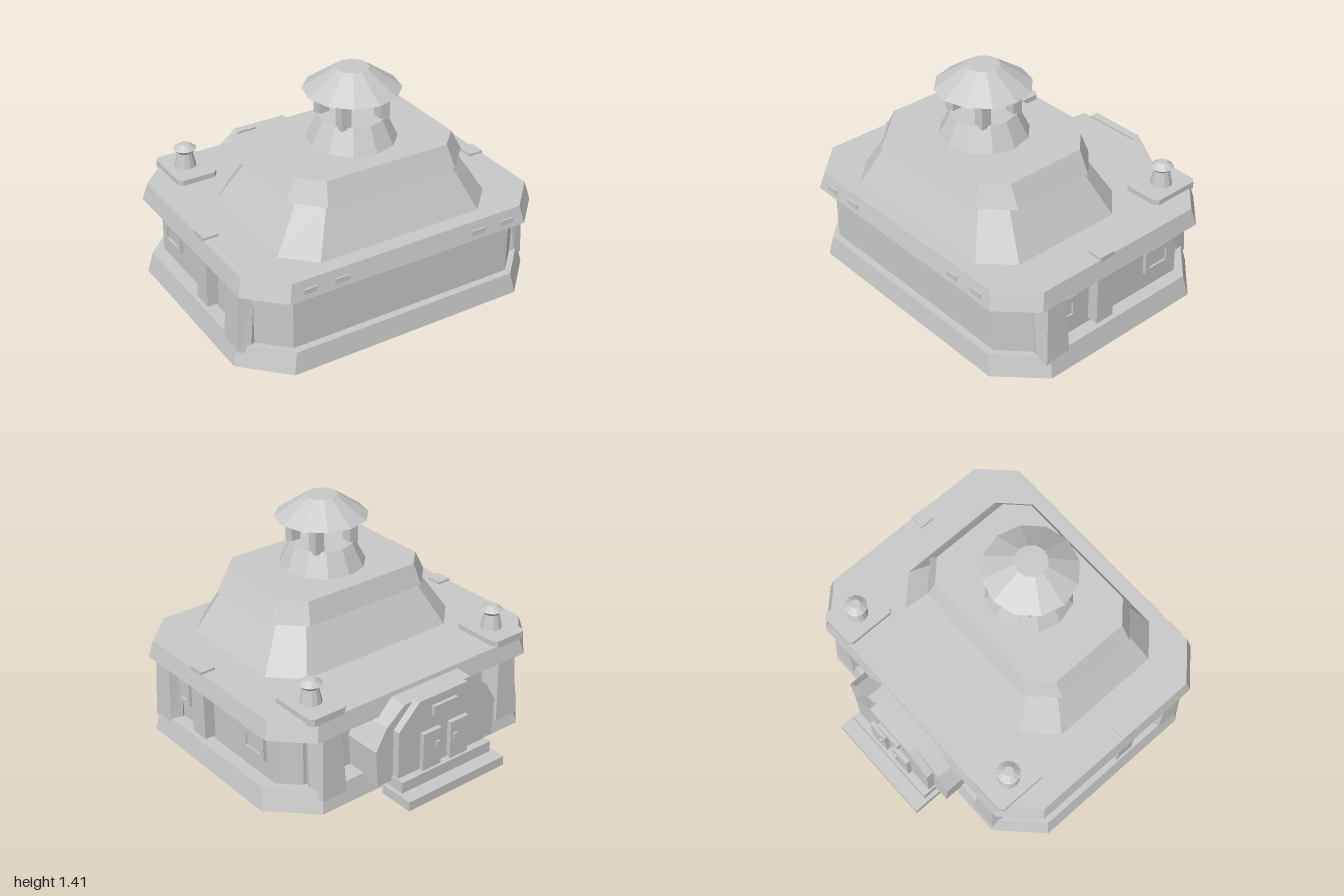
import * as THREE from 'three';

const stone = new THREE.MeshStandardMaterial({ color: 0xc9c9c9 });
stone.name = 'pale grey';

// Faceted normals for every part
function flat(g) {
  const f = g.index ? g.toNonIndexed() : g;
  f.computeVertexNormals();
  return f;
}

// Closed solid through rings of [x, z] corners at given heights
function loft(levels, mirror = false) {
  const rings = levels.map(({ y, pts }) => {
    const r = pts.map(([x, z]) => [mirror ? -x : x, y, z]);
    return mirror ? r.reverse() : r;
  });
  const pos = [];
  const tri = (a, b, c) => pos.push(...a, ...b, ...c);
  const n = rings[0].length;
  for (let k = 0; k < rings.length - 1; k++) {
    for (let i = 0; i < n; i++) {
      const j = (i + 1) % n, a = rings[k], b = rings[k + 1];
      tri(a[i], a[j], b[j]);
      tri(a[i], b[j], b[i]);
    }
  }
  const lo = rings[0], hi = rings[rings.length - 1];
  for (let i = 1; i < n - 1; i++) {
    tri(hi[0], hi[i], hi[i + 1]);
    tri(lo[0], lo[i + 1], lo[i]);
  }
  const g = new THREE.BufferGeometry();
  g.setAttribute('position', new THREE.Float32BufferAttribute(pos, 3));
  return flat(g);
}

// Rectangle with cut corners: front cut c, back cut d
function oct(y, x, z0, z1, c, d = c) {
  return { y, pts: [[-x + c, z1], [x - c, z1], [x, z1 - c], [x, z0 + d],
    [x - d, z0], [-x + d, z0], [-x, z0 + d], [-x, z1 - c]] };
}

export function createModel() {
  const model = new THREE.Group();
  model.name = 'building';

  const add = (name, geo, x = 0, y = 0, z = 0) => {
    const m = new THREE.Mesh(geo, stone);
    m.name = name;
    m.position.set(x, y, z);
    model.add(m);
  };
  // Box given by its extents
  const box = (name, x0, x1, y0, y1, z0, z1) => add(name,
    new THREE.BoxGeometry(Math.abs(x1 - x0), y1 - y0, z1 - z0),
    (x0 + x1) / 2, (y0 + y1) / 2, (z0 + z1) / 2);
  const drum = (name, rTop, rBottom, y0, y1, x, z) => add(name,
    flat(new THREE.CylinderGeometry(rTop, rBottom, y1 - y0, 12)), x, (y0 + y1) / 2, z);
  // Upright plate from half of a symmetric outline
  const plate = (name, half, z0, z1) => {
    const left = half.map(([x, y]) => [-x, y]).reverse();
    const shape = new THREE.Shape([...half, ...left].map(p => new THREE.Vector2(...p)));
    add(name, flat(new THREE.ExtrudeGeometry(shape, { depth: z1 - z0, bevelEnabled: false })), 0, 0, z0);
  };

  // Plinth, hollow from below
  add('plinth', loft([oct(0.125, 0.965, -0.63, 0.905, 0.24), oct(0, 0.996, -0.656, 0.926, 0.245),
    oct(0, 1, -0.66, 0.93, 0.245), oct(0.13, 0.97, -0.635, 0.91, 0.24)]));

  // Main body and roof tiers
  add('walls', loft([oct(0.128, 0.89, -0.515, 0.865, 0.165, 0.115), oct(0.49, 0.89, -0.515, 0.865, 0.165, 0.115)]));
  add('roofSlab', loft([oct(0.478, 0.982, -0.66, 0.937, 0.2), oct(0.587, 0.957, -0.637, 0.912, 0.2)]));
  add('lowerRoof', loft([oct(0.58, 0.698, -0.232, 0.822, 0.17), oct(0.85, 0.535, -0.085, 0.7, 0.12)]));
  add('upperRoof', loft([oct(0.85, 0.585, -0.13, 0.725, 0.165), oct(0.98, 0.515, -0.085, 0.672, 0.12)]));

  // Roof lantern
  const lz = 0.297;
  drum('lanternBase', 0.195, 0.267, 0.975, 1.122, 0, lz);
  for (const sx of [-1, 1]) for (const sz of [-1, 1]) {
    box('lanternPost', sx * 0.128 - 0.032, sx * 0.128 + 0.032, 1.11, 1.29,
      lz + sz * 0.115 - 0.032, lz + sz * 0.115 + 0.032);
  }
  drum('lanternCap', 0.097, 0.282, 1.283, 1.412, 0, lz);

  // Leaning buttress section, in distance out and width along the wall
  const section = (inner, bevel, outer, w) => [[inner, w * 0.6], [bevel, w],
    [outer, w - 0.02], [outer, 0.02 - w], [bevel, -w], [inner, -w * 0.6]];

  for (const s of [1, -1]) {
    const m = s < 0;
    // Buttresses on the sides and back
    const side = (y, bevel, outer, w) => ({ y, pts: section(0.8, bevel, outer, w).map(([d, t]) => [d, 0.618 + t]) });
    add('sideButtress', loft([side(0.09, 0.91, 0.977, 0.103), side(0.49, 0.87, 0.96, 0.085)], m));
    const back = (y, bevel, outer, w) => ({ y, pts: section(0.42, bevel, outer, w).map(([d, t]) => [0.665 + t, -d]) });
    add('backButtress', loft([back(0.08, 0.56, 0.655, 0.103), back(0.49, 0.52, 0.635, 0.085)], m));

    // Side pilaster, windows and roof block
    box('pilaster', s * 0.87, s * 0.96, 0.155, 0.485, 0.185, 0.31);
    for (const z of [0.518, -0.228]) {
      const f = 0.102, i = 0.068, o = s * 0.912, w = s * 0.88;
      box('windowFrameTop', w, o, 0.357, 0.396, z - f, z + f);
      box('windowFrameBottom', w, o, 0.247, 0.273, z - f, z + f);
      box('windowFrameSide', w, o, 0.273, 0.357, z - f, z - i);
      box('windowFrameSide', w, o, 0.273, 0.357, z + i, z + f);
      box('windowPane', w, s * 0.9, 0.273, 0.357, z - i, z + i);
    }
    box('roofBlock', s * 0.865, s * 0.96, 0.565, 0.602, 0.19, 0.295);

    // Front slab tabs
    for (const x of [0.655, 0.455]) {
      box('frontTab', s * (x - 0.045), s * (x + 0.045), 0.507, 0.538, 0.9, 0.933);
    }

    // Vent on a cut-corner pad
    const k = 0.025, pad = [[0.555 + k, -0.3], [0.81 - k, -0.3], [0.81, -0.3 - k], [0.81, -0.64 + k],
      [0.81 - k, -0.64], [0.555 + k, -0.64], [0.555, -0.64 + k], [0.555, -0.3 - k]];
    add('ventPad', loft([{ y: 0.575, pts: pad }, { y: 0.62, pts: pad }], m));
    drum('ventBody', 0.045, 0.068, 0.61, 0.72, s * 0.685, -0.472);
    drum('ventCapRim', 0.07, 0.045, 0.71, 0.735, s * 0.685, -0.472);
    drum('ventCap', 0.03, 0.07, 0.735, 0.765, s * 0.685, -0.472);

    // Door leaf with handle
    box('doorLeaf', s * 0.035, s * 0.17, 0.13, 0.37, -0.832, -0.79);
    box('doorHandle', s * 0.055, s * 0.08, 0.26, 0.295, -0.845, -0.82);
  }

  // Rear entrance
  plate('entranceHousing', [[0.44, 0.1], [0.455, 0.33], [0.38, 0.46], [0.25, 0.562]], -0.757, -0.48);
  plate('doorSurround', [[0.33, 0.1], [0.33, 0.43], [0.18, 0.575]], -0.803, -0.75);
  box('doorPlaque', -0.09, 0.09, 0.46, 0.52, -0.825, -0.79);
  box('upperStep', -0.34, 0.34, 0.06, 0.13, -0.85, -0.705);
  box('lowerStep', -0.365, 0.365, 0, 0.06, -0.94, -0.71);

  return model;
}
